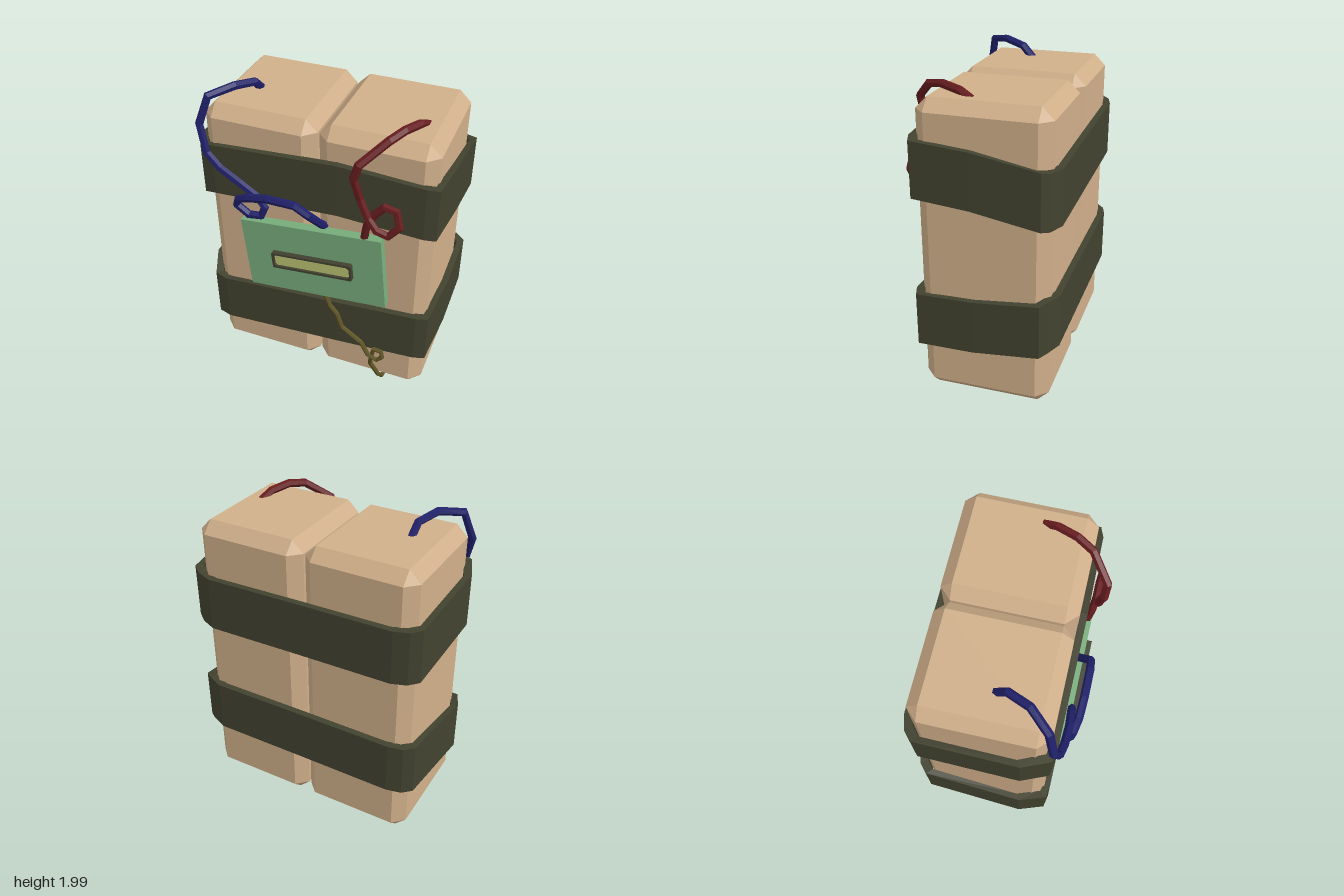
import * as THREE from 'three';
import { ConvexGeometry } from 'three/addons/geometries/ConvexGeometry.js';

const mat = (name, color, extra = {}) => {
  const m = new THREE.MeshStandardMaterial({ color, flatShading: true, ...extra });
  m.name = name;
  return m;
};

// Polyline path with one tube ring per point
class WirePath extends THREE.Curve {
  constructor(points) {
    super();
    this.pts = points.map(p => new THREE.Vector3(...p));
  }
  getPoint(t, target = new THREE.Vector3()) {
    const n = this.pts.length - 1;
    const i = Math.min(Math.floor(t * n + 1e-6), n - 1);
    return target.lerpVectors(this.pts[i], this.pts[i + 1], t * n - i);
  }
  getPointAt(t, target) { return this.getPoint(t, target); }
  getTangentAt(t, target = new THREE.Vector3()) {
    const n = this.pts.length - 1, i = Math.round(t * n);
    const dir = k => this.pts[k + 1].clone().sub(this.pts[k]).normalize();
    return target.copy(dir(Math.max(i - 1, 0))).add(dir(Math.min(i, n - 1))).normalize();
  }
}

// Box with cut edges and corners
function chamferedBox(w, h, d, c) {
  const pts = [];
  for (const sx of [-1, 1]) for (const sy of [-1, 1]) for (const sz of [-1, 1]) {
    for (let axis = 0; axis < 3; axis++) {
      const half = [w / 2, h / 2, d / 2].map((v, k) => (k === axis ? v : v - c));
      pts.push(new THREE.Vector3(sx * half[0], sy * half[1], sz * half[2]));
    }
  }
  return new ConvexGeometry(pts);
}

// Strap outline [x, z], counterclockwise from above, starting at front left
const OUTLINE = [
  [-0.70, 0.36], [-0.62, 0.375], [0.15, 0.38], [0.66, 0.375], [0.73, 0.35],
  [0.755, 0], [0.755, -0.4], [0.70, -0.44], [0.60, -0.483], [0, -0.485],
  [-0.60, -0.485], [-0.69, -0.46], [-0.745, -0.41], [-0.765, 0.2],
];

// Closed band following the outline, its lower edge at the given heights
function strapGeometry(heights) {
  const H = 0.335, pos = [];
  const ring = OUTLINE.map(([x, z], i) => {
    const y = heights[i], xi = x * 0.95, zi = -0.053 + (z + 0.053) * 0.905;
    return { ob: [x, y, z], ot: [x, y + H, z], ib: [xi, y, zi], it: [xi, y + H, zi] };
  });
  const quad = (a, b, c, d) => pos.push(...a, ...b, ...c, ...a, ...c, ...d);
  ring.forEach((a, i) => {
    const b = ring[(i + 1) % ring.length];
    quad(a.ob, b.ob, b.ot, a.ot);
    quad(b.ib, a.ib, a.it, b.it);
    quad(a.ot, b.ot, b.it, a.it);
    quad(a.ib, b.ib, b.ob, a.ob);
  });
  const g = new THREE.BufferGeometry();
  g.setAttribute('position', new THREE.Float32BufferAttribute(pos, 3));
  g.computeVertexNormals();
  return g;
}

// Rectangle with cut corners
function cutRect(path, w, h, c) {
  const x = w / 2, y = h / 2;
  path.setFromPoints([
    [-x + c, -y], [x - c, -y], [x, -y + c], [x, y - c],
    [x - c, y], [-x + c, y], [-x, y - c], [-x, -y + c], [-x + c, -y],
  ].map(p => new THREE.Vector2(...p)));
  return path;
}

export function createModel() {
  const model = new THREE.Group();
  model.name = 'strappedBlocks';
  const add = (parent, name, geometry, material, x = 0, y = 0, z = 0) => {
    const mesh = new THREE.Mesh(geometry, material);
    mesh.name = name;
    mesh.position.set(x, y, z);
    parent.add(mesh);
    return mesh;
  };

  const tan = mat('tan', 0xd0af8a);
  const olive = mat('darkOlive', 0x424230);
  const green = mat('panelGreen', 0x78ad7c);
  const lime = mat('displayYellow', 0xbcc374);
  const blue = mat('blueWire', 0x20206a, { side: THREE.DoubleSide });
  const red = mat('redWire', 0x681d20, { side: THREE.DoubleSide });
  const ochre = mat('ochreWire', 0x5f5526, { side: THREE.DoubleSide });

  // Two upright blocks
  const block = chamferedBox(0.692, 1.82, 0.775, 0.07);
  add(model, 'rightBlock', block, tan, -0.348, 0.98, -0.048);
  add(model, 'leftBlock', block, tan, 0.356, 0.98, -0.048);

  // Slanted straps
  add(model, 'upperStrap', strapGeometry([
    1.31, 1.325, 1.37, 1.34, 1.33, 1.31, 1.24, 1.225, 1.225, 1.235, 1.24, 1.245, 1.25, 1.298,
  ]), olive);
  add(model, 'lowerStrap', strapGeometry([
    0.315, 0.305, 0.36, 0.395, 0.39, 0.41, 0.45, 0.46, 0.46, 0.46, 0.455, 0.45, 0.45, 0.365,
  ]), olive);

  // Tilted panel with framed display
  const panel = new THREE.Group();
  panel.name = 'panel';
  panel.position.set(0.0125, 0.994, 0.38);
  panel.rotation.z = 0.093;
  model.add(panel);
  add(panel, 'panelBoard', new THREE.BoxGeometry(0.885, 0.492, 0.06), green);
  const frame = cutRect(new THREE.Shape(), 0.512, 0.11, 0.006);
  frame.holes.push(cutRect(new THREE.Path(), 0.485, 0.083, 0.015));
  add(panel, 'displayFrame',
    new THREE.ExtrudeGeometry(frame, { depth: 0.032, bevelEnabled: false }), olive, 0, -0.003, 0.03);
  add(panel, 'display', new THREE.BoxGeometry(0.49, 0.088, 0.008), lime, 0, -0.003, 0.043);

  // Wires
  const wire = (name, points, radius, material) => add(model, name,
    new THREE.TubeGeometry(new WirePath(points), points.length - 1, radius, 6), material);

  wire('blueWire', [
    [-0.46, 1.86, -0.01], [-0.47, 1.945, 0.07], [-0.53, 1.972, 0.2], [-0.64, 1.945, 0.32],
    [-0.69, 1.78, 0.36], [-0.645, 1.615, 0.39], [-0.56, 1.54, 0.405], [-0.44, 1.47, 0.41],
    [-0.34, 1.4, 0.405], [-0.285, 1.33, 0.405], [-0.31, 1.265, 0.41], [-0.385, 1.262, 0.42],
    [-0.455, 1.325, 0.43], [-0.435, 1.375, 0.44], [-0.36, 1.41, 0.455], [-0.24, 1.437, 0.46],
    [-0.07, 1.435, 0.46], [0.01, 1.385, 0.455], [0.065, 1.25, 0.35], [0.01, 1.15, 0.05],
  ], 0.025, blue);

  wire('redWire', [
    [0.56, 1.87, 0.04], [0.535, 1.91, 0.12], [0.485, 1.925, 0.24], [0.43, 1.905, 0.34],
    [0.305, 1.795, 0.455], [0.275, 1.7, 0.45], [0.305, 1.56, 0.425], [0.355, 1.445, 0.43],
    [0.41, 1.38, 0.44], [0.48, 1.36, 0.44], [0.54, 1.43, 0.43], [0.515, 1.52, 0.415],
    [0.445, 1.53, 0.41], [0.385, 1.46, 0.41], [0.34, 1.36, 0.4], [0.32, 1.24, 0.38],
  ], 0.025, red);

  wire('ochreWire', [
    [0.07, 0.78, 0.38], [0.115, 0.675, 0.395], [0.165, 0.62, 0.4], [0.2, 0.525, 0.405],
    [0.33, 0.44, 0.41], [0.38, 0.355, 0.415], [0.44, 0.33, 0.42], [0.475, 0.365, 0.415],
    [0.465, 0.405, 0.41], [0.415, 0.405, 0.405], [0.4, 0.33, 0.4], [0.388, 0.25, 0.385],
    [0.435, 0.13, 0.355], [0.445, 0.06, 0.3], [0.445, 0.018, 0.2], [0.445, 0.045, 0.14],
    [0.445, 0.09, 0.11],
  ], 0.015, ochre);

  return model;
}
